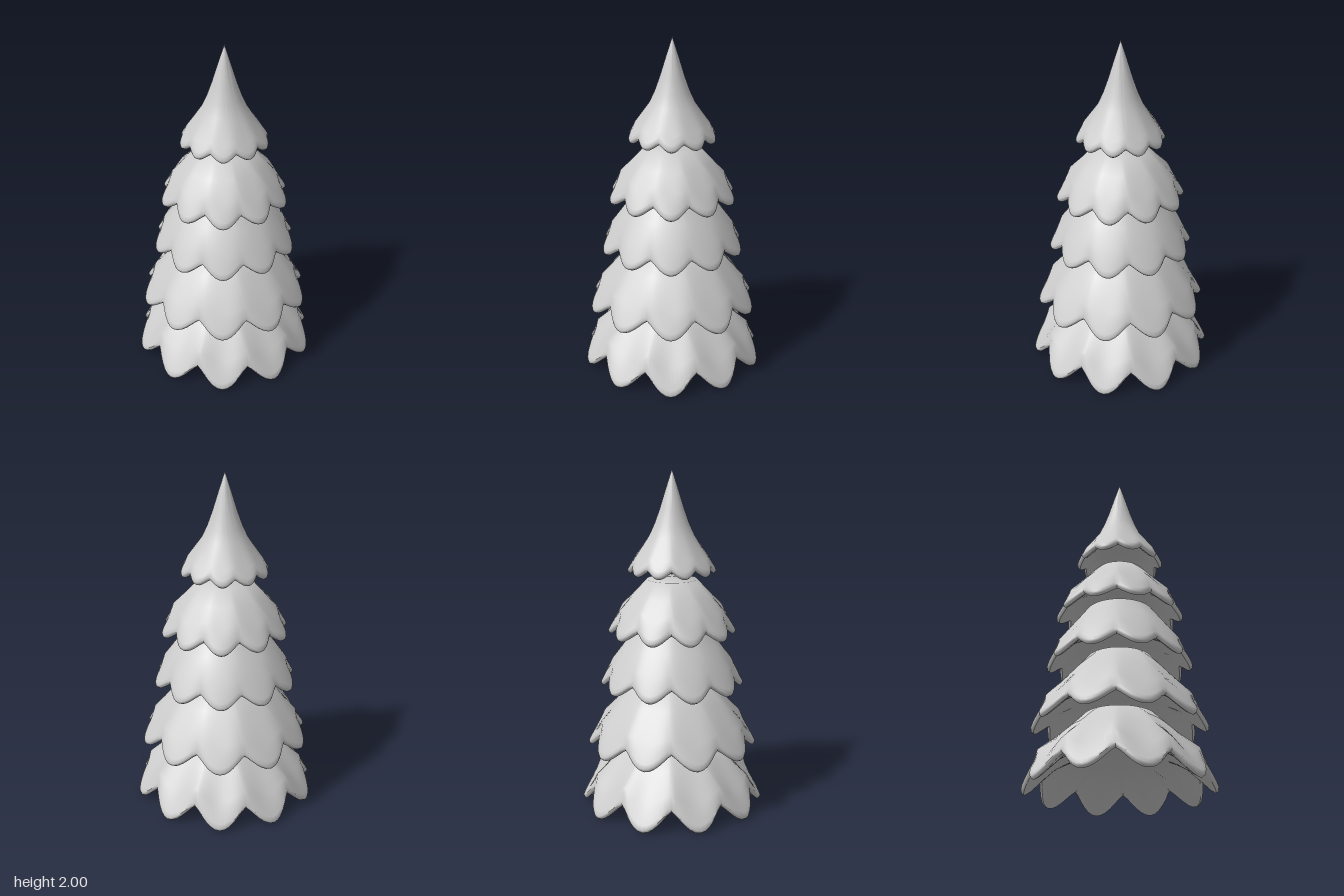
import * as THREE from 'three';
import { toCreasedNormals } from 'three/addons/utils/BufferGeometryUtils.js';

const LOBES = 10;
const SEGMENTS = LOBES * 12;

// Skirt surface swept round the y axis. The profile blends between the one
// through the middle of a lobe and the one through a notch, as [radius, y].
function scallopedGeometry(lobe, notch) {
  const rows = lobe.length;
  const positions = [];
  const index = [];
  for (let i = 0; i < rows; i++) {
    for (let j = 0; j < SEGMENTS; j++) {
      const a = (j / SEGMENTS) * Math.PI * 2;
      const w = Math.abs(Math.cos((a * LOBES) / 2)) ** 1.3;
      const r = THREE.MathUtils.lerp(notch[i][0], lobe[i][0], w);
      const y = THREE.MathUtils.lerp(notch[i][1], lobe[i][1], w);
      positions.push(r * Math.sin(a), y, r * Math.cos(a));
    }
  }
  for (let i = 0; i < rows - 1; i++) {
    for (let j = 0; j < SEGMENTS; j++) {
      const k = (j + 1) % SEGMENTS;
      const a = i * SEGMENTS + j, d = i * SEGMENTS + k;
      const b = a + SEGMENTS, c = d + SEGMENTS;
      if (lobe[i + 1][0] > 0) index.push(a, b, c);
      if (lobe[i][0] > 0) index.push(a, c, d);
    }
  }
  const geometry = new THREE.BufferGeometry();
  geometry.setAttribute('position', new THREE.Float32BufferAttribute(positions, 3));
  geometry.setIndex(index);
  return toCreasedNormals(geometry, 0.9);
}

// Rounded rim and shallow hollow underside, from the outer edge to the axis
function rimAndUnderside([r, y], ceiling, reach) {
  return [
    [r - 0.012, y + 0.045],
    [r, y + 0.022],
    [r - 0.003, y + 0.008],
    [r - 0.016, y],
    [r - 0.035, y + 0.012],
    [THREE.MathUtils.lerp(r, reach * 0.45, 0.5), THREE.MathUtils.lerp(y, ceiling, 0.5)],
    [reach * 0.45, ceiling - reach * 0.07],
    [reach * 0.22, ceiling - reach * 0.015],
    [0, ceiling],
  ];
}

// Point halfway down the slope, mostly levelled between lobe and notch
function upperSlope(top, mid, otherMid) {
  return [0, 1].map((c) => top[c] * 0.5 + mid[c] * 0.35 + otherMid[c] * 0.15);
}

// top: edge of the flat top, mid: where the slope bends, tip: lowest rim point
const tiers = [
  { name: 'bottomTier', top: [0.21, 0.44], lobeMid: [0.46, 0.15], lobeTip: [0.543, 0.0], notchMid: [0.465, 0.215], notchTip: [0.487, 0.115] },
  { name: 'lowerTier', top: [0.19, 0.795], lobeMid: [0.43, 0.5], lobeTip: [0.503, 0.353], notchMid: [0.43, 0.535], notchTip: [0.45, 0.44] },
  { name: 'middleTier', top: [0.2, 1.095], lobeMid: [0.365, 0.865], lobeTip: [0.423, 0.727], notchMid: [0.362, 0.885], notchTip: [0.382, 0.795] },
  { name: 'upperTier', top: [0.147, 1.37], lobeMid: [0.31, 1.18], lobeTip: [0.375, 1.043], notchMid: [0.302, 1.215], notchTip: [0.332, 1.1] },
];

export function createModel() {
  const tree = new THREE.Group();
  tree.name = 'pineTree';
  const material = new THREE.MeshStandardMaterial({ color: 0xcccccc });

  const addTier = (name, lobe, notch) => {
    const mesh = new THREE.Mesh(scallopedGeometry(lobe, notch), material);
    mesh.name = name;
    tree.add(mesh);
  };

  // Four flat-topped skirts of branches
  for (const { name, top, lobeMid, lobeTip, notchMid, notchTip } of tiers) {
    const reach = lobeTip[0];
    const ceiling = lobeTip[1] + reach * 0.46;
    const profile = (mid, otherMid, tip) => [
      [0, top[1]], top, upperSlope(top, mid, otherMid), mid,
      ...rimAndUnderside(tip, ceiling, reach),
    ];
    addTier(name, profile(lobeMid, notchMid, lobeTip), profile(notchMid, lobeMid, notchTip));
  }

  // Pointed crown with a flared, scalloped hem
  const spire = [[0, 2], [0.035, 1.89], [0.07, 1.775], [0.1, 1.69], [0.132, 1.62]];
  const crown = (mid, tip) => [...spire, mid, ...rimAndUnderside(tip, 1.52, 0.257)];
  addTier('crown', crown([0.218, 1.49], [0.257, 1.403]), crown([0.214, 1.51], [0.236, 1.44]));

  return tree;
}
